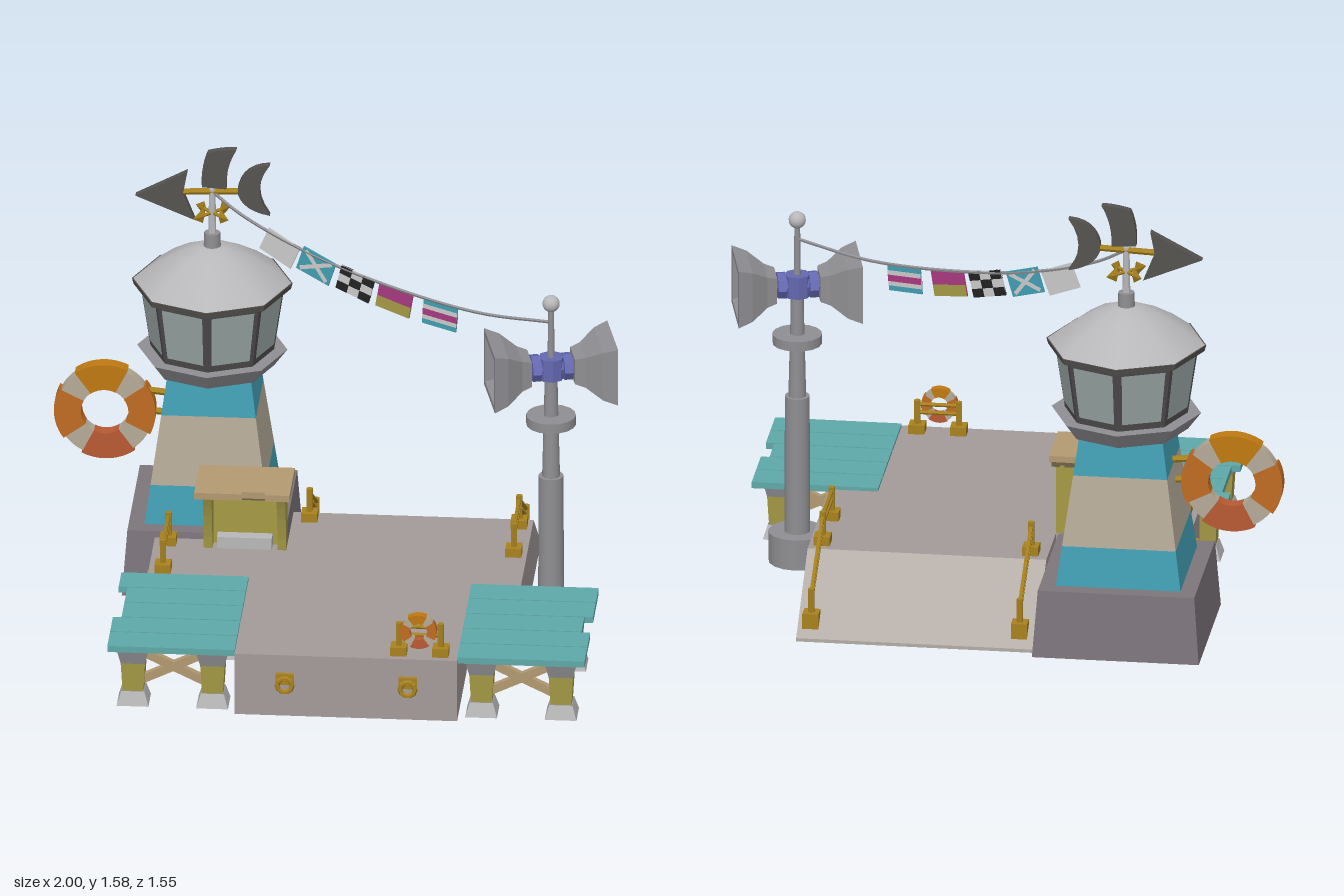
import * as THREE from 'three';

const C = { stone: 0xa39b9a, ramp: 0xb3aca7, plinth: 0x7d757b, teal: 0x5fa9a8, blue: 0x429fb3,
  beige: 0xb5aa98, grey: 0x8f8f93, pale: 0xb8b8ba, frame: 0x4d4a4b, glass: 0x98a5a3, gold: 0xa8821f, olive: 0xa59a45,
  wood: 0xb39a72, orange: 0xc07a12, amber: 0xbf6c22, red: 0xb85a32, violet: 0x6468b0, iron: 0x555350, white: 0xcfcfcf,
  magenta: 0xa83a80 };

export function createModel() {
  const root = new THREE.Group();
  const mats = {};
  const mat = (color, smooth = false) => (mats[color + '_' + smooth] ??=
    new THREE.MeshStandardMaterial({ color, flatShading: !smooth, side: THREE.DoubleSide }));
  const add = (name, geo, color, p = [0, 0, 0], parent = root, smooth = false) => {
    const m = new THREE.Mesh(geo, mat(color, smooth));
    m.name = name;
    m.position.set(...p);
    parent.add(m);
    return m;
  };
  const group = (name, p = [0, 0, 0], parent = root) => {
    const g = new THREE.Group();
    g.name = name;
    g.position.set(...p);
    parent.add(g);
    return g;
  };
  // box given by its min and max corners
  const box = (name, a, b, color, parent = root) => add(name,
    new THREE.BoxGeometry(b[0] - a[0], b[1] - a[1], b[2] - a[2]), color, a.map((v, i) => (v + b[i]) / 2), parent);
  // vertical cylinder or prism from y0 to y1
  const cyl = (name, x, z, y0, y1, r0, r1, color, n = 16, parent = root) => add(name,
    new THREE.CylinderGeometry(r1, r0, y1 - y0, n), color, [x, (y0 + y1) / 2, z], parent, n > 8);
  // open square frustum given by half widths
  const taper = (name, x, z, y0, y1, h0, h1, color, parent = root) => add(name,
    new THREE.CylinderGeometry(h1 * Math.SQRT2, h0 * Math.SQRT2, y1 - y0, 4, 1, true).rotateY(Math.PI / 4), color,
    [x, (y0 + y1) / 2, z], parent);
  const rod = (name, a, b, r, color, parent = root) => {
    const A = new THREE.Vector3(...a), d = new THREE.Vector3(...b).sub(A);
    const m = add(name, new THREE.CylinderGeometry(r, r, d.length(), 6), color, A.clone().addScaledVector(d, 0.5).toArray(), parent);
    m.quaternion.setFromUnitVectors(new THREE.Vector3(0, 1, 0), d.normalize());
    return m;
  };
  // flat four-cornered face
  const quad = (name, pts, color, parent = root) => {
    const g = new THREE.BufferGeometry().setFromPoints(pts.map(p => new THREE.Vector3(...p)));
    g.setIndex([0, 1, 2, 0, 2, 3]);
    g.computeVertexNormals();
    return add(name, g, color, [0, 0, 0], parent);
  };
  const shape = pts => new THREE.Shape(pts.map(p => new THREE.Vector2(...p)));
  const extrude = (s, depth) => new THREE.ExtrudeGeometry(s, { depth, bevelEnabled: false, curveSegments: 6 });

  // Quay: hollow shell of deck and walls, open below and towards the ramp at the back
  const top = 0.228;
  const plan = [[-0.17, -0.44], [-0.17, -0.19], [-0.63, -0.19], [-0.63, 0.11], [-0.28, 0.11], [-0.28, 0.75],
    [0.49, 0.75], [0.49, 0.12], [0.66, 0.12], [0.66, -0.44]];
  add('quayDeck', new THREE.ShapeGeometry(shape(plan.map(([x, z]) => [x, -z]))).rotateX(-Math.PI / 2), C.stone, [0, top, 0]);
  plan.slice(1).forEach(([x, z], i) => {
    const [px, pz] = plan[i];
    quad('quayWall', [[px, 0, pz], [x, 0, z], [x, top, z], [px, top, pz]], C.stone);
  });
  quad('ramp', [[0.66, top, -0.44], [0.66, 0.012, -0.74], [-0.17, 0.012, -0.74], [-0.17, top, -0.44]], C.ramp);
  quad('rampEdge', [[0.66, 0.012, -0.74], [0.66, 0, -0.74], [-0.17, 0, -0.74], [-0.17, 0.012, -0.74]], C.ramp);
  quad('rampSide', [[0.66, 0, -0.44], [0.66, 0, -0.74], [0.66, 0.012, -0.74], [0.66, top, -0.44]], C.stone);
  quad('rampSide', [[-0.17, 0, -0.74], [-0.17, 0, -0.44], [-0.17, top, -0.44], [-0.17, 0.012, -0.74]], C.stone);

  // Side jetties, mirrored about the middle of the quay
  for (const s of [-1, 1]) {
    const jetty = group(s < 0 ? 'rightJetty' : 'leftJetty', [0.105, 0, 0]);
    const reach = s < 0 ? [0.825, 0.795, 0.795, 0.825, 0.825] : [0.825, 0.825, 0.795, 0.825, 0.825];
    reach.forEach((w, i) => {
      const z = 0.128 + i * 0.124, x = [0.385 * s, w * s].sort((a, b) => a - b);
      box('plank', [x[0], 0.215, z], [x[1], 0.238, z + 0.118], C.teal, jetty);
    });
    for (const z of [0.25, 0.66]) {
      for (const o of [0.465, 0.74]) {
        taper('foot', o * s, z, 0, 0.05, 0.055, 0.04, C.pale, jetty);
        taper('post', o * s, z, 0.05, 0.155, 0.036, 0.042, C.olive, jetty);
        taper('postCap', o * s, z, 0.155, 0.215, 0.042, 0.056, C.grey, jetty);
      }
      for (const [y0, y1] of [[0.07, 0.2], [0.2, 0.07]]) {
        const m = box('brace', [-0.15, -0.015, -0.012], [0.15, 0.015, 0.012], C.wood, jetty);
        m.position.set(0.602 * s, 0.135, z);
        m.rotation.z = Math.atan2(y1 - y0, 0.27);
      }
    }
  }

  // Tower with striped walls on a hollow square plinth
  const tower = group('tower', [-0.455, 0, -0.49]);
  const plinth = [[0.29, 0], [0.272, 0.24], [0.215, 0.24]].map(([h, y]) => new THREE.Vector2(h * Math.SQRT2, y));
  add('plinth', new THREE.LatheGeometry(plinth, 4, Math.PI / 4), C.plinth, [0, 0, 0], tower);
  const half = y => 0.217 - (y - 0.24) * 0.137;
  [[0.235, 0.38, C.blue], [0.38, 0.63, C.beige], [0.63, 0.765, C.blue]].forEach(([a, b, c]) =>
    taper('wallStripe', 0, 0, a, b, half(a), half(b), c, tower));
  cyl('gallery', 0, 0, 0.76, 0.82, 0.215, 0.26, C.grey, 8, tower);
  cyl('cabin', 0, 0, 0.82, 1.06, 0.214, 0.25, C.frame, 8, tower);
  const rim = (k, y) => {
    const r = (0.214 + (y - 0.82) * 0.15) * 1.012, a = k * Math.PI / 4;
    return new THREE.Vector3(r * Math.sin(a), y, r * Math.cos(a));
  };
  for (let k = 0; k < 8; k++) {
    const at = (y, t) => rim(k, y).lerp(rim(k + 1, y), t).toArray();
    quad('windowPane', [at(0.845, 0.09), at(0.845, 0.91), at(1.035, 0.91), at(1.035, 0.09)], C.glass, tower);
  }
  cyl('eave', 0, 0, 1.05, 1.072, 0.272, 0.278, C.iron, 8, tower);
  const roof = [[0.276, 1.07], [0.2, 1.127], [0.12, 1.175], [0.05, 1.203], [0, 1.208]].map(p => new THREE.Vector2(...p));
  add('roof', new THREE.LatheGeometry(roof, 8), C.pale, [0, 0, 0], tower, true);
  cyl('roofCap', 0, 0, 1.195, 1.255, 0.03, 0.028, C.grey, 12, tower);
  cyl('vanePole', 0, 0, 1.25, 1.42, 0.014, 0.011, C.pale, 8, tower);

  // Weathervane: arrow head, fin and forked tail on a rod, compass pointers below
  const vane = group('weathervane', [-0.455, 1.405, -0.49]);
  rod('vaneRod', [-0.11, 0, 0], [0.12, 0.01, 0], 0.011, C.gold, vane);
  const fin = new THREE.Shape();
  fin.moveTo(-0.035, 0.025);
  fin.quadraticCurveTo(-0.04, 0.1, -0.015, 0.155);
  fin.quadraticCurveTo(0.04, 0.17, 0.085, 0.17);
  fin.quadraticCurveTo(0.045, 0.1, 0.05, 0.02);
  const tail = new THREE.Shape();
  tail.moveTo(0.09, 0.03);
  tail.quadraticCurveTo(0.11, 0.11, 0.2, 0.115);
  tail.quadraticCurveTo(0.13, 0.02, 0.2, -0.075);
  tail.quadraticCurveTo(0.11, -0.06, 0.09, 0.0);
  const head = shape([[-0.265, -0.015], [-0.085, 0.08], [-0.1, 0], [-0.06, -0.1]]);
  for (const [n, s] of [['vaneHead', head], ['vaneFin', fin], ['vaneTail', tail]])
    add(n, extrude(s, 0.028), C.iron, [0, 0, -0.014], vane);
  for (let k = 0; k < 4; k++) {
    const arm = group('compassPointer', [0, -0.075, 0], vane);
    arm.rotation.y = Math.PI / 4 + k * Math.PI / 2;
    rod('pointerRod', [0, 0, 0], [0.06, 0, 0], 0.006, C.gold, arm);
    add('pointerTip', new THREE.ConeGeometry(0.028, 0.045, 4).rotateZ(-Math.PI / 2).scale(1, 1, 0.3), C.gold, [0.065, 0, 0], arm);
  }

  // Life rings: flat sectors, orange arcs standing proud of pale bands
  const lifeRing = (name, p, outer, inner, depth) => {
    const g = group(name, p);
    const sector = (n, mid, arc, r0, r1, d, color) => {
      const s = new THREE.Shape();
      s.absarc(0, 0, r1, mid - arc / 2, mid + arc / 2, false);
      s.absarc(0, 0, r0, mid + arc / 2, mid - arc / 2, true);
      add(n, extrude(s, d), color, [0, 0, -d / 2], g);
    };
    [C.amber, C.orange, C.amber, C.red].forEach((color, k) => {
      const a = k * Math.PI / 2 + 0.08;
      sector('ringArc', a, 1.1, inner, outer, depth, color);
      sector('ringBand', a + Math.PI / 4, Math.PI / 2 - 1.1, inner, outer * 0.95, depth * 0.88, C.beige);
    });
  };
  lifeRing('largeLifeRing', [-0.825, 0.573, -0.49], 0.176, 0.082, 0.052);
  for (const y of [0.575, 0.65]) rod('ringBracket', [-0.68, y, -0.49], [-0.58, y - 0.01, -0.49], 0.012, C.gold);
  lifeRing('smallLifeRing', [0.355, 0.325, 0.72], 0.063, 0.03, 0.03);

  // Porch: back wall, curved sides, plank canopy and step
  const porch = group('porch');
  box('porchBack', [-0.45, 0.228, -0.185], [-0.17, 0.48, -0.165], C.olive, porch);
  const side = new THREE.Shape();
  side.moveTo(0.185, 0.228);
  side.lineTo(0.12, 0.228);
  side.quadraticCurveTo(0.11, 0.36, 0.055, 0.48);
  side.lineTo(0.185, 0.48);
  for (const x of [-0.455, -0.2]) add('porchSide', extrude(side, 0.03).rotateY(Math.PI / 2), C.olive, [x, 0, 0], porch);
  [[-0.475, -0.31, 0.05], [-0.31, -0.23, 0.03], [-0.23, -0.145, 0.05]].forEach(([a, b, z]) =>
    box('canopyPlank', [a, 0.488, -0.185], [b, 0.512, z], C.wood, porch));
  box('canopyBeam', [-0.465, 0.473, -0.185], [-0.155, 0.49, 0.01], 0x6e604a, porch);
  box('step', [-0.41, 0.228, -0.17], [-0.22, 0.27, -0.12], C.pale, porch);

  // Railings
  const railing = (name, posts) => {
    const g = group(name);
    posts.forEach(([x, y, z], i) => {
      box('railFoot', [x - 0.028, y - 0.03, z - 0.028], [x + 0.028, y + 0.03, z + 0.028], C.gold, g);
      rod('railPost', [x, y, z], [x, y + 0.115, z], 0.012, C.gold, g);
      const n = posts[i + 1];
      if (n) for (const h of [0.07, 0.1]) rod('rail', [x, y + h, z], [n[0], n[1] + h, n[2]], 0.007, C.gold, g);
    });
  };
  railing('leftRailing', [[0.615, 0.23, -0.15], [0.615, 0.23, -0.385], [0.615, 0.06, -0.68]]);
  railing('innerRailing', [[-0.11, 0.23, -0.385], [-0.11, 0.06, -0.68]]);
  railing('rightRailing', [[-0.58, 0.23, 0.08], [-0.58, 0.23, -0.15]]);
  railing('ringStand', [[0.285, 0.23, 0.7], [0.43, 0.23, 0.7]]);

  // Mooring rings
  for (const [x, z, turn] of [[-0.105, 0.75, 0], [0.32, 0.75, 0], [-0.63, -0.035, -Math.PI / 2]]) {
    const g = group('mooringRing', [x, 0.122, z]);
    g.rotation.y = turn;
    box('mooringPlate', [-0.032, 0, 0], [0.032, 0.04, 0.015], C.gold, g);
    add('mooringLoop', new THREE.TorusGeometry(0.026, 0.009, 6, 10), C.gold, [0, 0, 0.016], g);
  }

  // Signal mast with two square horns
  const mx = 0.757, mz = 0.02;
  const mast = group('signalMast');
  [[0, 0.11, 0.1, 0.1], [0.1, 0.61, 0.045, 0.043], [0.61, 0.81, 0.031, 0.026], [0.805, 0.84, 0.086, 0.086],
    [0.84, 1.0, 0.025, 0.022], [1.0, 1.24, 0.013, 0.01]].forEach(([a, b, r0, r1]) =>
    cyl('mastSection', mx, mz, a, b, r0, r1, C.grey, 16, mast));
  add('mastBall', new THREE.SphereGeometry(0.03, 16, 10), C.pale, [mx, 1.26, mz], mast, true);
  const horns = group('horns', [mx, 1.02, mz]);
  horns.rotation.y = 0.23;
  cyl('hornHub', 0, 0, -0.04, 0.04, 0.045, 0.045, C.violet, 8, horns);
  const bell = [[0, 0.075], [0.046, 0.075], [0.056, 0.11], [0.09, 0.165], [0.105, 0.215], [0.086, 0.215], [0.05, 0.13], [0, 0.13]]
    .map(([r, y]) => new THREE.Vector2(r * Math.SQRT2, y));
  for (const turn of [0, Math.PI]) {
    const h = group('horn', [0, 0, 0], horns);
    h.rotation.y = turn;
    const along = (n, r0, r1, a, b) => add(n, new THREE.CylinderGeometry(r1, r0, b - a, 8).rotateZ(-Math.PI / 2),
      C.violet, [(a + b) / 2, 0, 0], h);
    add('hornBell', new THREE.LatheGeometry(bell, 4, Math.PI / 4).rotateZ(-Math.PI / 2).scale(1, 1, 1.2), C.grey, [0, 0, 0], h);
    along('hornNeck', 0.032, 0.032, 0, 0.08);
    along('hornCollar', 0.045, 0.045, 0.04, 0.07).scale.z = 1.4;
    along('hornDriver', 0.055, 0.04, 0.12, 0.17);
  }

  // Signal line with five flags
  const zAt = x => -0.49 + (x + 0.455) / 1.212 * 0.51;
  const line = new THREE.CatmullRomCurve3([[-0.455, 1.41], [-0.35, 1.345], [-0.1, 1.252], [0.2, 1.192], [0.5, 1.167], [mx, 1.19]]
    .map(([x, y]) => new THREE.Vector3(x, y, zAt(x))));
  add('signalLine', new THREE.TubeGeometry(line, 32, 0.006, 5), C.grey);
  const W = 0.066, H = 0.046;
  const flags = [[-0.213, 1.25, -0.42], [-0.083, 1.212, -0.33], [0.057, 1.175, -0.26], [0.197, 1.146, -0.18], [0.36, 1.125, -0.08]];
  flags.forEach(([x, y, tilt], i) => {
    const g = group('flag', [x, y, zAt(x)]);
    g.rotation.set(0, -0.4, tilt);
    const patch = (x0, y0, x1, y1, c, d = 0.003) => box('flagPatch', [x0 * W, y0 * H, -d], [x1 * W, y1 * H, d], c, g);
    patch(-1, -1, 1, 1, [C.white, C.blue, C.white, C.magenta, C.blue][i]);
    if (i === 1) for (const s of [-1, 1]) patch(-0.98, -0.16, 0.98, 0.16, C.white, 0.004).rotation.z = s * 0.6;
    if (i === 2) for (const [a, b] of [[-1, -1], [-1, 0.33], [-0.33, -0.33], [0.33, -1], [0.33, 0.33]])
      patch(a, b, a + 0.67, b + 0.67, 0x222222, 0.004);
    if (i === 3) patch(-1, -1, 1, -0.1, C.olive, 0.004);
    if (i === 4) {
      patch(-1, -0.6, 1, 0.6, C.white, 0.004);
      patch(-1, -0.25, 1, 0.25, C.magenta, 0.005);
    }
  });
  return root;
}
